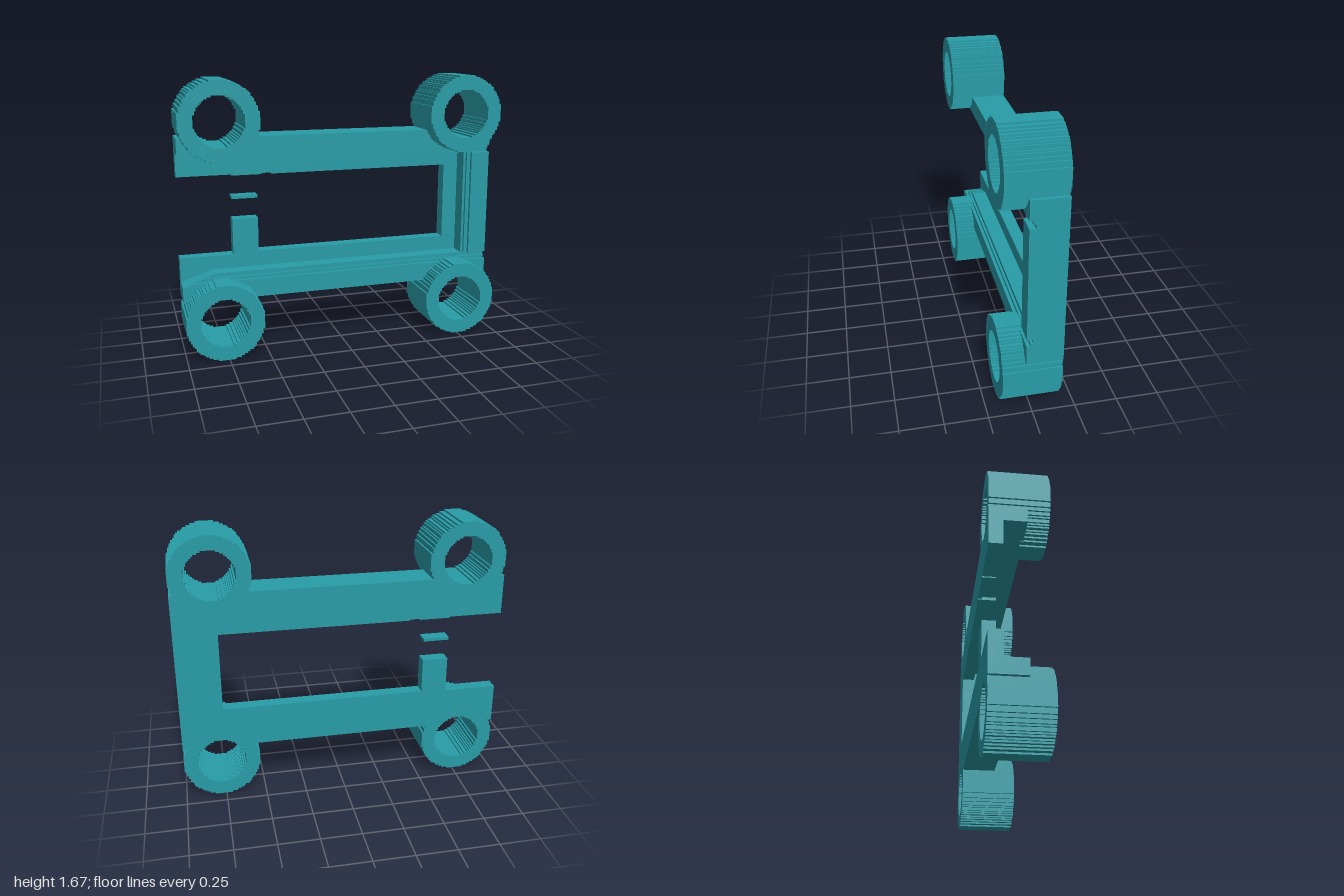
import * as THREE from 'three';

const BACK = -0.17, FRONT = 0.17, STEP = -0.09;
const HEIGHT = 1.675, RING_X = 0.765, RING_Y = 1.44;
const OUTER = 0.235, INNER = 0.148, BAR_TOP = 1.335;

// Stair-stepped circle, n steps per radius, clockwise from the left
function steppedCircle(r, n) {
  const s = r / n, upper = [];
  for (let k = -n; k < n; k++) {
    const mid = (k + 0.5) * s;
    const h = Math.max(1, Math.round(Math.sqrt(r * r - mid * mid) / s)) * s;
    upper.push([k * s, h], [(k + 1) * s, h]);
  }
  const all = upper.concat(upper.slice().reverse().map(([x, y]) => [x, -y]));
  // Drop repeated points
  return all.filter(([x, y], i) => {
    const [px, py] = all[(i + all.length - 1) % all.length];
    return Math.hypot(x - px, y - py) > 1e-6;
  });
}

const toVectors = (pts) => pts.map(([x, y]) => new THREE.Vector2(x, y));
const flip = (pts) => pts.map(([x, y]) => [x, HEIGHT - y]);

export function createModel() {
  const group = new THREE.Group();
  const teal = new THREE.MeshStandardMaterial({ color: 0x289ca6 });
  teal.name = 'teal';

  function slab(name, pts, z0, z1, hole) {
    const shape = new THREE.Shape(toVectors(pts));
    if (hole) shape.holes.push(new THREE.Path(toVectors(hole)));
    const geo = new THREE.ExtrudeGeometry(shape, { depth: z1 - z0, bevelEnabled: false });
    geo.translate(0, 0, z0);
    const mesh = new THREE.Mesh(geo, teal);
    mesh.name = name;
    group.add(mesh);
  }
  const rect = (x0, x1, y0, y1) => [[x0, y0], [x1, y0], [x1, y1], [x0, y1]];

  // Four corner tubes; the bore runs opposite to the rim so its wall faces inward
  const outer = steppedCircle(OUTER, 22), inner = steppedCircle(INNER, 14);
  const bore = inner.slice().reverse();
  for (const x of [-RING_X, RING_X]) {
    for (const y of [RING_Y, HEIGHT - RING_Y]) {
      const place = (pts) => pts.map(([px, py]) => [px + x, py + y]);
      slab('cornerTube', place(outer), BACK, FRONT, place(bore));
    }
  }

  // Bar outer edge, left to right, cut away where the tube bores pass
  const cut = BAR_TOP - RING_Y;
  const bite = inner.filter(([, y]) => y < cut).reverse();
  const edge = [[-1, BAR_TOP]];
  for (const x of [-RING_X, RING_X]) {
    edge.push([x + bite[0][0], BAR_TOP]);
    bite.forEach(([px, py]) => edge.push([x + px, RING_Y + py]));
    edge.push([x + bite[bite.length - 1][0], BAR_TOP]);
  }
  edge.push([1, BAR_TOP]);

  // Thin back layer of the frame
  const upperInner = [[1, 1.083], [-0.42, 1.083], [-0.42, 1.09], [-0.48, 1.09],
    [-0.48, 1.083], [-0.67, 1.083], [-0.67, 1.09], [-1, 1.09]];
  const lowerInner = [[1, 1.08], [-0.67, 1.08], [-0.67, 1.09], [-1, 1.09]];
  slab('upperBarBack', [...edge, ...upperInner], BACK, STEP);
  slab('lowerBarBack', flip([...edge, ...lowerInner]), BACK, STEP);
  slab('sideBarBack', rect(0.74, 1, 0.595, 1.083), BACK, STEP);

  // Raised rim in three steps, flaring outward at the open end
  const steps = [
    { y: 1.175, x: 0.837, z0: STEP, z1: 0.005 },
    { y: 1.2, x: 0.853, z0: 0.005, z1: 0.02 },
    { y: 1.22, x: 0.878, z0: 0.02, z1: 0.04 },
  ];
  for (const { y, x, z0, z1 } of steps) {
    const flareX = -1 + 0.2 * (1.24 - y) / 0.065;
    const rim = [...edge, [1, y], [flareX, y], [-1, 1.24]];
    slab('upperRim', rim, z0, z1);
    slab('lowerRim', flip(rim), z0, z1);
    slab('sideRim', rect(x, 1, 0.5, 1.175), z0, z1);
  }

  // Post on the lower bar and the small plate above it
  slab('post', rect(-0.67, -0.51, 0.59, 0.81), BACK, STEP);
  slab('smallPlate', rect(-0.67, -0.51, 0.937, 0.955), BACK, STEP);

  return group;
}
